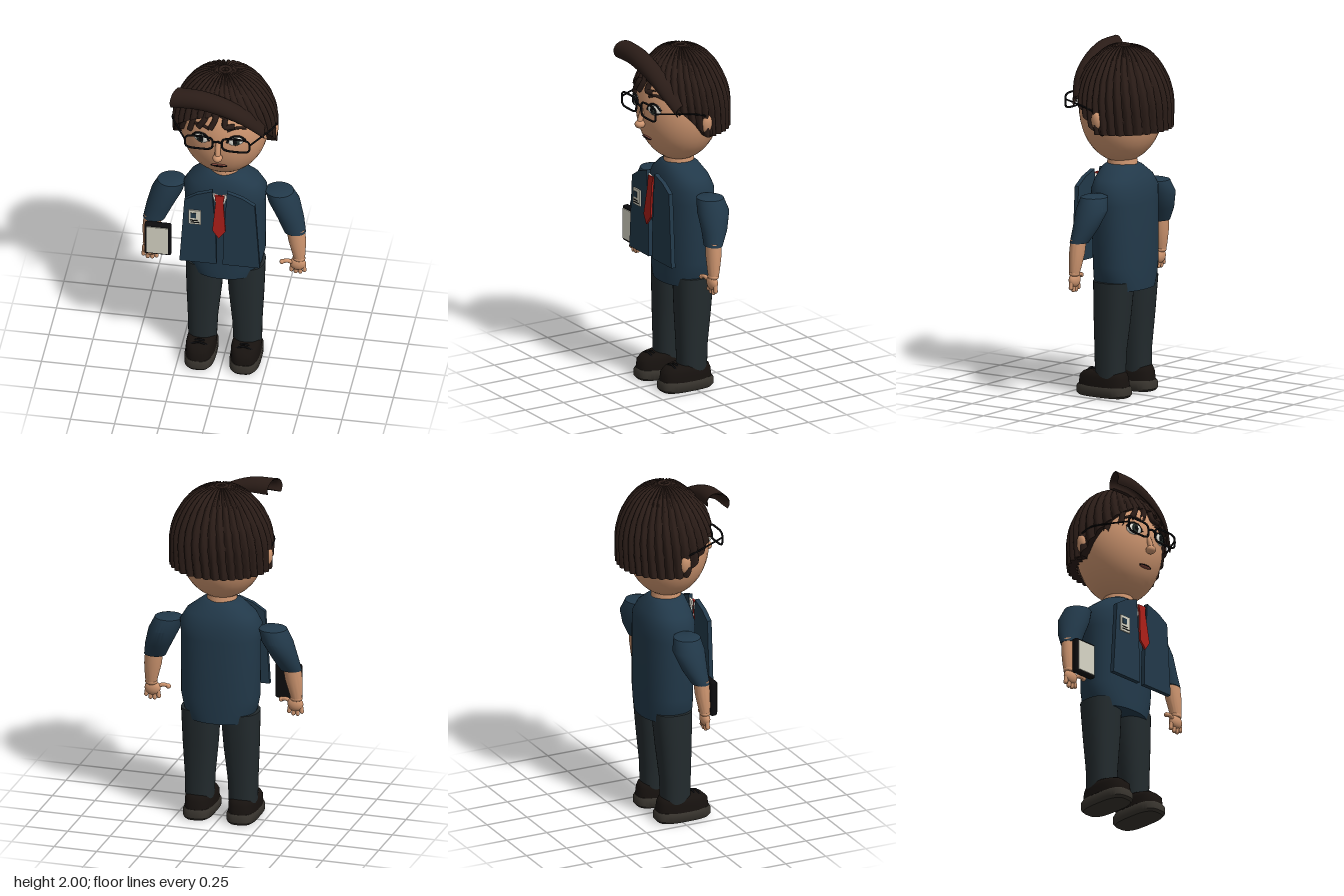
import * as THREE from 'three';
import { toCreasedNormals } from 'three/addons/utils/BufferGeometryUtils.js';
import { RoundedBoxGeometry } from 'three/addons/geometries/RoundedBoxGeometry.js';

const V = (x, y, z) => new THREE.Vector3(x, y, z);
const mat = (color, side = THREE.FrontSide) => new THREE.MeshStandardMaterial({ color, side });
const M = {
  skin: mat(0xcf9670), hair: mat(0x2a1c17, THREE.DoubleSide), shirt: mat(0x22394a), trousers: mat(0x232b2e),
  shoe: mat(0x17120f), sole: mat(0x37332d), black: mat(0x0c0c0e), tie: mat(0xa81e18), white: mat(0xe8e6dc),
  page: mat(0xd8d6c6), iris: mat(0x2a3430), lip: mat(0x7a4238),
};

// Joins closed rings of points into one skin
function skin(rings, cap = true, crease = 0.7) {
  if (cap) {
    const middle = r => { const c = r.reduce((a, p) => a.add(p), V(0, 0, 0)).divideScalar(r.length); return r.map(() => c); };
    rings = [middle(rings[0]), ...rings, middle(rings[rings.length - 1])];
  }
  const n = rings[0].length, index = [];
  for (let i = 0; i < rings.length - 1; i++) for (let j = 0; j < n; j++) {
    const a = i * n + j, b = i * n + (j + 1) % n;
    index.push(a, b, a + n, b, b + n, a + n);
  }
  const g = new THREE.BufferGeometry().setFromPoints(rings.flat());
  g.setIndex(index);
  return toCreasedNormals(g, crease);
}

// Stacked (super)elliptical sections, top to bottom: [y, cx, cz, rx, rz]
function loft(sections, power = 2, n = 32) {
  const f = v => Math.sign(v) * Math.pow(Math.abs(v), 2 / power);
  return skin(sections.map(([y, cx, cz, rx, rz]) => Array.from({ length: n }, (_, j) => {
    const a = j / n * Math.PI * 2;
    return V(cx + rx * f(Math.cos(a)), y, cz + rz * f(Math.sin(a)));
  })));
}

const tube = (pts, r, closed = false, seg = 24) =>
  new THREE.TubeGeometry(new THREE.CatmullRomCurve3(pts, closed), seg, r, 8, closed);
const ball = (rx, ry, rz) => new THREE.SphereGeometry(1, 32, 24).scale(rx, ry, rz);
const slab = (pts, depth) => new THREE.ExtrudeGeometry(
  new THREE.Shape(pts.map(p => new THREE.Vector2(p[0], p[1]))), { depth, bevelEnabled: false });

// Depth of the face surface at x, y
const HEAD = { y: 1.635, rx: 0.25, ry: 0.315, rz: 0.235 };
const faceZ = (x, y) => HEAD.rz * Math.sqrt(Math.max(0, 1 - (x / HEAD.rx) ** 2 - ((y - HEAD.y) / HEAD.ry) ** 2));

// Ridged hair cap, with a hairline that rises towards the forehead
function hairCap() {
  const rings = [], n = 256, rows = 24, locks = 34;
  for (let i = 0; i <= rows + 1; i++) {
    const t = Math.min(1, i / rows), ring = [];
    for (let j = 0; j < n; j++) {
      const a = j / n * Math.PI * 2;
      const edge = 1.52 + 0.3 * Math.max(0, Math.sin(a));
      const phi = t * Math.acos((edge - 1.65) / 0.335);
      let r = phi < Math.PI / 2 ? Math.sin(phi) : 1 - 0.02 * (phi - Math.PI / 2);
      const wave = Math.abs(Math.sin(a * locks / 2 + 2.2 * t * t + 0.5 * Math.sin(3 * a)));
      r *= 0.93 + 0.075 * wave;
      if (i > rows) r *= 0.82;
      ring.push(V(0.297 * r * Math.cos(a), 1.65 + 0.335 * Math.cos(phi) + 0.013 * wave * Math.sin(Math.PI * Math.min(1, t * 2)), -0.015 + 0.275 * r * Math.sin(a)));
    }
    rings.push(ring);
  }
  return skin(rings, false, 0.9);
}

// Arched quiff running across the forehead
function quiff() {
  const path = new THREE.CatmullRomCurve3([V(-0.245, 1.918, 0.2), V(-0.1, 1.915, 0.2), V(0.05, 1.865, 0.19), V(0.16, 1.79, 0.17), V(0.25, 1.68, 0.12)]);
  const rings = [], m = 16;
  for (let i = 0; i <= 24; i++) {
    const s = i / 24, c = path.getPoint(s), r = 0.06 - 0.018 * s, ring = [];
    for (let k = 0; k < 2 * m; k++) {
      const outer = k < m, u = (outer ? k : 2 * m - 1 - k) / (m - 1);
      const a = -0.35 + u * 4.1, q = outer ? r : r - (i % 24 ? 0.017 : 0.004);
      ring.push(V(c.x + 0.025 * (1 - s) * Math.cos(a), c.y + q * Math.sin(a), c.z - q * Math.cos(a)));
    }
    rings.push(ring);
  }
  return skin(rings, false, 0.8);
}

export function createModel() {
  const model = new THREE.Group();
  const add = (name, geo, material, x = 0, y = 0, z = 0) => {
    const mesh = new THREE.Mesh(geo, material);
    mesh.name = name;
    mesh.position.set(x, y, z);
    model.add(mesh);
    return mesh;
  };

  // Head and face
  add('head', ball(HEAD.rx, HEAD.ry, HEAD.rz), M.skin, 0, HEAD.y, 0);
  add('neck', new THREE.CylinderGeometry(0.08, 0.09, 0.1, 32), M.skin, 0, 1.32, -0.005);
  add('noseBridge', tube([V(0, 1.65, 0.225), V(0, 1.6, 0.245), V(0, 1.56, 0.255)], 0.016), M.skin);
  add('noseTip', ball(0.028, 0.024, 0.03), M.skin, 0, 1.562, 0.25);
  add('mouth', ball(0.043, 0.011, 0.012), M.lip, 0, 1.475, faceZ(0, 1.475));
  add('mouthLine', tube([V(-0.045, 1.474, 0.203), V(0, 1.478, 0.214), V(0.045, 1.474, 0.203)], 0.004), M.black);

  // Hair
  add('hairCap', hairCap(), M.hair);
  add('quiff', quiff(), M.hair);
  add('crownKnot', new THREE.TorusGeometry(0.03, 0.01, 8, 24).rotateX(Math.PI / 2), M.hair, 0, 1.985, -0.015);
  const fringe = [
    [[-0.14, 1.85], [-0.19, 1.76], [-0.225, 1.65]], [[-0.1, 1.86], [-0.14, 1.79], [-0.17, 1.69]],
    [[-0.06, 1.86], [-0.08, 1.79], [-0.115, 1.735]], [[-0.01, 1.86], [-0.02, 1.8], [-0.045, 1.745]],
    [[0.05, 1.85], [0.035, 1.79], [0.04, 1.765], [0.09, 1.765]], [[0.11, 1.83], [0.1, 1.8], [0.14, 1.775]],
    [[0.16, 1.8], [0.19, 1.74], [0.225, 1.66]],
  ];
  for (const pts of fringe)
    add('fringeLock', tube(pts.map(([x, y]) => V(x, y, faceZ(x, y) + 0.014)), 0.016), M.hair);

  // Paired parts
  for (const s of [-1, 1]) {
    const ear = add('ear', ball(0.022, 0.055, 0.032), M.skin, s * 0.278, 1.595, -0.02);
    ear.rotation.z = -s * 0.15;
    add('sideburn', ball(0.02, 0.04, 0.025), M.hair, s * 0.265, 1.55, -0.05);

    const ez = faceZ(0.1, 1.67);
    add('eyeWhite', ball(0.046, 0.034, 0.016), M.white, s * 0.1, 1.67, ez).rotation.y = s * 0.35;
    add('iris', ball(0.025, 0.027, 0.008), M.iris, s * 0.097, 1.67, ez + 0.013);
    add('pupil', ball(0.013, 0.015, 0.005), M.black, s * 0.097, 1.67, ez + 0.019);
    add('eyelid', tube([V(s * 0.05, 1.66, ez + 0.018), V(s * 0.075, 1.697, ez + 0.012), V(s * 0.12, 1.702, ez + 0.003), V(s * 0.15, 1.672, ez - 0.012)], 0.006), M.black);
    add('eyebrow', tube([0.05, 0.1, 0.15].map((x, i) => V(s * x, [1.735, 1.75, 1.735][i], faceZ(x, 1.74) + 0.003)), 0.008), M.hair);

    // Glasses
    const rim = Array.from({ length: 32 }, (_, i) => {
      const a = i / 16 * Math.PI, f = v => Math.sign(v) * Math.sqrt(Math.abs(v));
      return V(s * 0.105 + 0.078 * f(Math.cos(a)), 1.665 + 0.043 * f(Math.sin(a)), 0.257);
    });
    add('glassesRim', tube(rim, 0.006, true, 80), M.black);
    const temple = new THREE.CurvePath();
    add('glassesTemple', tube([V(s * 0.183, 1.675, 0.257), V(s * 0.235, 1.675, 0.165), V(s * 0.287, 1.67, 0.06), V(s * 0.29, 1.65, -0.01)], 0.005), M.black);

    // Arm
    add('sleeve', loft([
      [1.178, s * 0.3, -0.02, 0.06, 0.05], [1.17, s * 0.306, -0.025, 0.08, 0.075], [1.1, s * 0.333, -0.028, 0.088, 0.092],
      [1.0, s * 0.372, -0.012, 0.075, 0.072], [0.92, s * 0.4, 0.012, 0.062, 0.05]]), M.shirt);
    add('forearm', loft([
      [0.94, s * 0.405, 0.014, 0.052, 0.042], [0.86, s * 0.414, 0.018, 0.05, 0.042], [0.78, s * 0.424, 0.024, 0.038, 0.034],
      [0.735, s * 0.428, 0.027, 0.03, 0.027]]), M.skin);
    add('wrist', ball(0.036, 0.02, 0.03), M.skin, s * 0.426, 0.745, 0.027);
    add('palm', ball(0.046, 0.042, 0.026), M.skin, s * 0.42, 0.708, 0.03);
    for (let i = 0; i < 4; i++) {
      const x = 0.386 + i * 0.023, tip = [0.66, 0.65, 0.65, 0.665][i];
      const finger = new THREE.CapsuleGeometry(0.012, 0.7 - tip, 6, 12);
      add('finger', finger, M.skin, s * x, (0.7 + tip) / 2, 0.03).rotation.z = s * (i - 1.5) * 0.1;
    }
    add('thumb', tube([V(s * 0.395, 0.715, 0.035), V(s * 0.36, 0.728, 0.042), V(s * 0.335, 0.722, 0.046)], 0.012), M.skin);
    add('thumbTip', ball(0.014, 0.014, 0.014), M.skin, s * 0.332, 0.72, 0.046);

    // Leg and shoe
    add('trouserLeg', loft([
      [0.66, s * 0.116, -0.028, 0.109, 0.112], [0.45, s * 0.12, -0.02, 0.099, 0.1],
      [0.25, s * 0.126, -0.012, 0.084, 0.086], [0.1, s * 0.128, -0.012, 0.079, 0.083]], 2.4), M.trousers);
    add('sole', loft([
      [0.062, s * 0.128, 0.03, 0.08, 0.157], [0.05, s * 0.128, 0.03, 0.087, 0.165],
      [0.014, s * 0.128, 0.03, 0.087, 0.165], [0, s * 0.128, 0.03, 0.076, 0.153]], 3, 40), M.sole);
    add('shoeUpper', loft([
      [0.146, s * 0.128, 0.01, 0.066, 0.1], [0.135, s * 0.128, 0.022, 0.076, 0.13], [0.11, s * 0.128, 0.03, 0.082, 0.149],
      [0.06, s * 0.128, 0.03, 0.083, 0.156]], 2.6, 40), M.shoe);
    for (const z of [0.095, 0.12])
      add('lace', tube([V(s * 0.128 - 0.05, 0.132, z), V(s * 0.128, 0.15, z), V(s * 0.128 + 0.05, 0.132, z)], 0.006), M.black);

    // Jacket front panel and collar
    add('jacketPanel', slab([[0.042, 1.265], [0.13, 1.235], [0.2, 1.19], [0.228, 0.76], [0.018, 0.76], [0.02, 0.92]]
      .map(([x, y]) => [s * x, y]), 0.026), M.shirt, 0, 0, 0.155);
    add('collar', slab([[0.012, 1.235], [0.045, 1.245], [0.022, 1.16]].map(([x, y]) => [s * x, y]), 0.01), M.white, 0, 0, 0.16);
  }
  add('glassesBridge', tube([V(-0.028, 1.672, 0.257), V(0, 1.682, 0.26), V(0.028, 1.672, 0.257)], 0.006), M.black);

  // Torso
  add('torso', loft([
    [1.316, 0, -0.005, 0.085, 0.08], [1.3, 0, -0.005, 0.12, 0.1], [1.24, 0, -0.015, 0.2, 0.13], [1.18, 0, -0.02, 0.235, 0.148],
    [1.1, 0, -0.022, 0.228, 0.152], [0.75, 0, -0.028, 0.226, 0.146], [0.67, 0, -0.026, 0.21, 0.147], [0.61, 0, -0.026, 0.185, 0.145]], 2.3, 48), M.shirt);

  // Tie
  const tie = add('tie', slab([[-0.028, 0.28], [0.028, 0.28], [0.022, 0.235], [0.037, 0.05], [0, 0], [-0.037, 0.05], [-0.022, 0.235]], 0.012),
    M.tie, 0, 0.96, 0.197);
  tie.rotation.x = -0.1;

  // Name badge
  add('badge', new THREE.BoxGeometry(0.072, 0.095, 0.008), M.page, -0.14, 1.078, 0.185);
  add('badgePhoto', new THREE.BoxGeometry(0.032, 0.034, 0.004), M.shirt, -0.148, 1.092, 0.19);
  for (const [x, y, w] of [[-0.145, 1.058, 0.04], [-0.138, 1.045, 0.05]])
    add('badgeStripe', new THREE.BoxGeometry(w, 0.005, 0.004), M.black, x, y, 0.19);

  // Tablet held in the right hand
  add('tabletCase', new RoundedBoxGeometry(0.152, 0.208, 0.04, 3, 0.012), M.black, -0.366, 0.823, 0.08);
  add('tabletScreen', new THREE.BoxGeometry(0.122, 0.178, 0.006), M.page, -0.366, 0.823, 0.102);

  return model;
}
